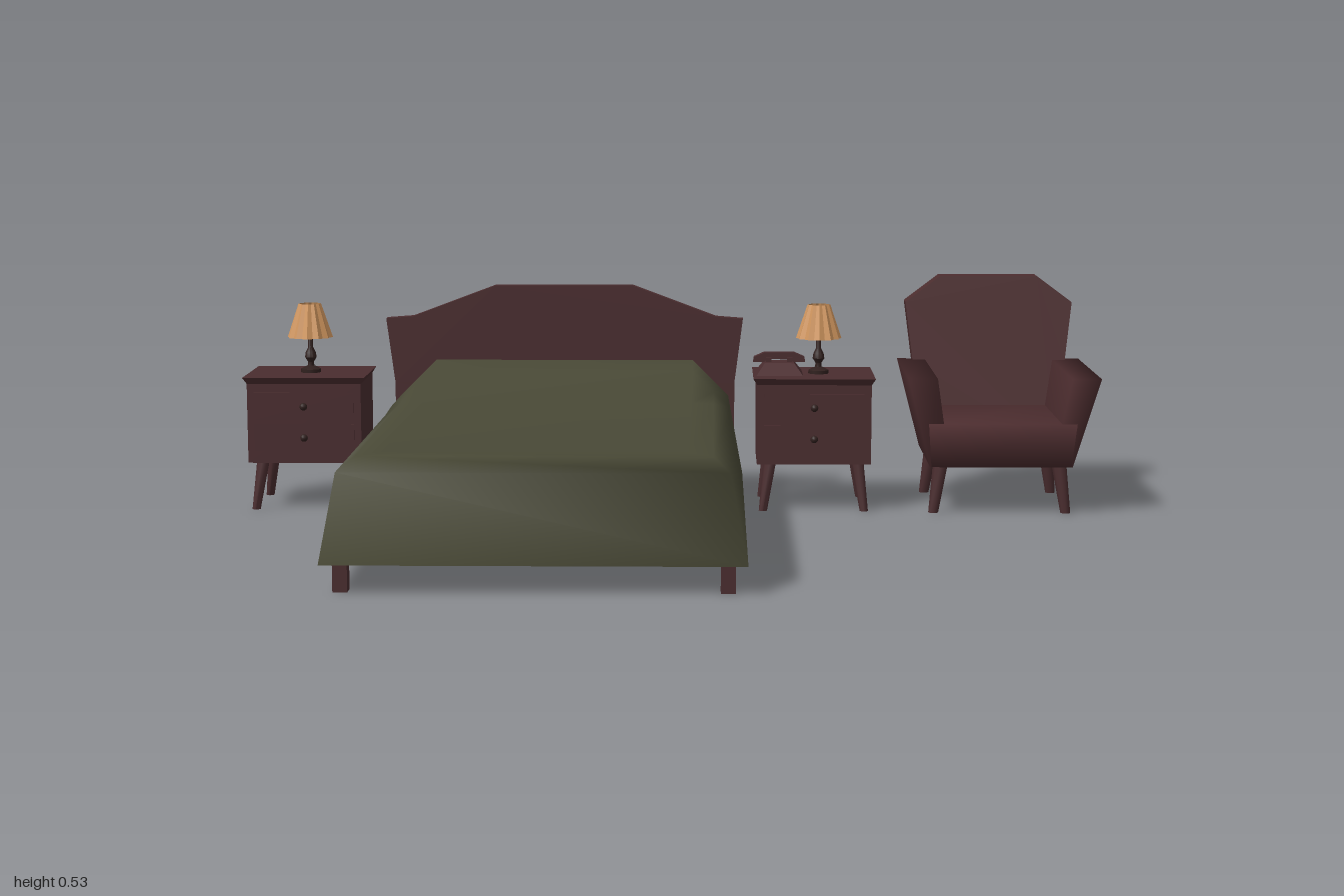
import * as THREE from 'three';
import { mergeVertices, toCreasedNormals } from 'three/addons/utils/BufferGeometryUtils.js';

const material = (name, color, side = THREE.FrontSide) =>
  Object.assign(new THREE.MeshStandardMaterial({ color, side }), { name });

export function createModel() {
  const wood = material('dark red wood', 0x4a2d2f);
  const upholstery = material('burgundy upholstery', 0x4c2d2f);
  const fabric = material('olive bedspread', 0x494936, THREE.DoubleSide);
  const bronze = material('dark bronze', 0x30201e);
  const paper = material('amber lampshade', 0xd0965f, THREE.DoubleSide);

  const group = (name, parent, x = 0, y = 0, z = 0) => {
    const g = new THREE.Group();
    g.name = name;
    g.position.set(x, y, z);
    if (parent) parent.add(g);
    return g;
  };
  const add = (parent, name, geometry, mat, x = 0, y = 0, z = 0) => {
    const m = new THREE.Mesh(geometry, mat);
    m.name = name;
    m.position.set(x, y, z);
    parent.add(m);
    return m;
  };

  // Block whose bottom and top rectangles differ; each is [x0, x1, z0, z1]
  function block(y0, y1, bottom, top, smooth = false) {
    let g = new THREE.BoxGeometry(1, 1, 1);
    const p = g.attributes.position;
    for (let i = 0; i < p.count; i++) {
      const r = p.getY(i) > 0 ? top : bottom;
      p.setXYZ(i, p.getX(i) > 0 ? r[1] : r[0], p.getY(i) > 0 ? y1 : y0, p.getZ(i) > 0 ? r[3] : r[2]);
    }
    if (smooth) {
      g.deleteAttribute('normal');
      g.deleteAttribute('uv');
      g = mergeVertices(g);
    } else g = g.toNonIndexed();
    g.computeVertexNormals();
    return g;
  }

  // Tapered splayed leg from a top point down to the floor
  function leg(parent, mat, height, top, foot, r = 0.018) {
    const g = new THREE.CylinderGeometry(r, r * 0.65, height, 8);
    const p = g.attributes.position;
    for (let i = 0; i < p.count; i++) {
      const t = p.getY(i) / height + 0.5;
      p.setXYZ(i, p.getX(i) + foot[0] + (top[0] - foot[0]) * t, t * height,
        p.getZ(i) + foot[1] + (top[1] - foot[1]) * t);
    }
    add(parent, 'leg', toCreasedNormals(g, 0.9), mat);
  }

  // Flat outline with thickness, optionally leaning back with height
  function panel(points, depth, z, lean = () => 0) {
    const shape = new THREE.Shape(points.map(([x, y]) => new THREE.Vector2(x, y)));
    const g = new THREE.ExtrudeGeometry(shape, { depth, bevelEnabled: false });
    g.translate(0, 0, z);
    const p = g.attributes.position;
    for (let i = 0; i < p.count; i++) p.setZ(i, p.getZ(i) + lean(p.getY(i)));
    g.computeVertexNormals();
    return toCreasedNormals(g, 0.6);
  }
  const mirrored = half => [...half, ...half.slice().reverse().map(([x, y]) => [-x, y])];

  // Bedspread: U-shaped loops draped down to the hem, raised over the pillows
  function bedspread() {
    const loops = [ // half width, height, pillow height, front z
      [0.43, 0.06, 0.06, 0.65],
      [0.395, 0.245, 0.25, 0.63],
      [0.36, 0.272, 0.285, 0.59],
      [0.31, 0.274, 0.335, 0.55],
    ];
    const pos = [], idx = [];
    for (const [h, y, py, zf] of loops) {
      const side = [[-0.465, py], [-0.27, py], [-0.16, y], [zf, y]];
      side.forEach(([z, yy]) => pos.push(h, yy, z));
      side.slice().reverse().forEach(([z, yy]) => pos.push(-h, yy, z));
    }
    const quad = (a, b, c, d) => idx.push(a, b, c, a, c, d);
    for (let l = 0; l < 3; l++)
      for (let i = 0; i < 7; i++) {
        const a = l * 8 + i;
        quad(a, a + 8, a + 9, a + 1);
      }
    for (let i = 0; i < 3; i++) quad(24 + i, 31 - i, 30 - i, 25 + i);
    const g = new THREE.BufferGeometry();
    g.setAttribute('position', new THREE.Float32BufferAttribute(pos, 3));
    g.setIndex(idx);
    g.computeVertexNormals();
    return g;
  }

  const root = group('bedroomSet');

  // Bed
  const bed = group('bed', root, -0.254);
  add(bed, 'bedspread', bedspread(), fabric);
  add(bed, 'headboard', panel(mirrored([
    [0.41, 0.1], [0.41, 0.28], [0.43, 0.435], [0.365, 0.44], [0.165, 0.515],
  ]), 0.03, -0.495), wood);
  for (const s of [-1, 1]) {
    add(bed, 'headboardPost', new THREE.BoxGeometry(0.03, 0.2, 0.034), wood, s * 0.39, 0.1, -0.474);
    add(bed, 'frontLeg', new THREE.BoxGeometry(0.03, 0.11, 0.034), wood, s * 0.39, 0.055, 0.611);
  }

  // Table lamp, standing on its own origin
  function lamp(parent, x) {
    const g = group('lamp', parent, x, 0.315, 0);
    const profile = [[0, 0], [0.024, 0], [0.024, 0.008], [0.008, 0.016], [0.007, 0.025], [0.014, 0.036],
      [0.012, 0.048], [0.006, 0.06], [0.006, 0.15], [0, 0.155]].map(p => new THREE.Vector2(...p));
    add(g, 'lampBase', toCreasedNormals(new THREE.LatheGeometry(profile, 12), 0.7), bronze);
    // Pleated shade: every other column pulled inward
    const cone = new THREE.CylinderGeometry(0.027, 0.054, 0.08, 24, 1, true);
    const p = cone.attributes.position;
    for (let i = 0; i < p.count; i++) {
      const k = (i % 25) % 2 ? 0.9 : 1;
      p.setXYZ(i, p.getX(i) * k, p.getY(i), p.getZ(i) * k);
    }
    const shade = cone.toNonIndexed();
    shade.computeVertexNormals();
    add(g, 'lampshade', shade, paper, 0, 0.124, 0);
  }

  // Nightstand with two drawers
  function nightstand(x, lampX) {
    const g = group('nightstand', root, x, 0, -0.383);
    add(g, 'cabinet', block(0.112, 0.302, [-0.134, 0.134, -0.104, 0.104], [-0.134, 0.134, -0.104, 0.104]), wood);
    add(g, 'tableTop', block(0.3, 0.315, [-0.134, 0.134, -0.104, 0.104], [-0.143, 0.143, -0.113, 0.113]), wood);
    for (const y of [0.173, 0.247]) {
      add(g, 'drawerFront', new THREE.BoxGeometry(0.235, 0.064, 0.004), wood, 0, y, 0.105);
      add(g, 'drawerKnob', new THREE.SphereGeometry(0.009, 10, 8), bronze, 0, y, 0.113);
    }
    for (const sx of [-1, 1])
      for (const sz of [-1, 1])
        leg(g, wood, 0.115, [sx * 0.103, sz * 0.078], [sx * 0.119, sz * 0.095], 0.015);
    lamp(g, lampX);
    return g;
  }
  nightstand(-0.857, 0.002);
  const rightStand = nightstand(0.342, 0.013);

  // Telephone: sloped body, cradle prongs, handset
  const phone = group('telephone', rightStand, -0.08, 0.315, 0);
  add(phone, 'phoneBody', block(0, 0.026, [-0.055, 0.055, -0.055, 0.055], [-0.035, 0.035, -0.045, 0.02]), wood);
  for (const s of [-1, 1])
    add(phone, 'cradle', new THREE.BoxGeometry(0.012, 0.014, 0.03), wood, s * 0.025, 0.03, -0.02);
  add(phone, 'handset', panel(mirrored([[0.03, 0.032], [0.034, 0.025], [0.062, 0.025], [0.06, 0.037], [0.035, 0.048]]),
    0.024, -0.032), wood);

  // Armchair
  const chair = group('armchair', root, 0.778);
  add(chair, 'seat', block(0.112, 0.217, [-0.163, 0.163, -0.575, -0.245], [-0.172, 0.172, -0.58, -0.222], true), upholstery);
  for (const s of [-1, 1]) {
    const span = (inner, outer) => (s > 0 ? [inner, outer] : [-outer, -inner]);
    add(chair, 'arm', block(0.112, 0.326, [...span(0.12, 0.166), -0.577, -0.245],
      [...span(0.155, 0.222), -0.585, -0.2], true), upholstery);
    leg(chair, wood, 0.12, [s * 0.138, -0.285], [s * 0.155, -0.273]);
    leg(chair, wood, 0.12, [s * 0.138, -0.53], [s * 0.155, -0.545]);
  }
  add(chair, 'backrest', panel(mirrored([
    [0.163, 0.112], [0.185, 0.32], [0.203, 0.465], [0.118, 0.528],
  ]), 0.055, -0.577, y => (0.112 - y) * 0.178), upholstery);

  return root;
}
